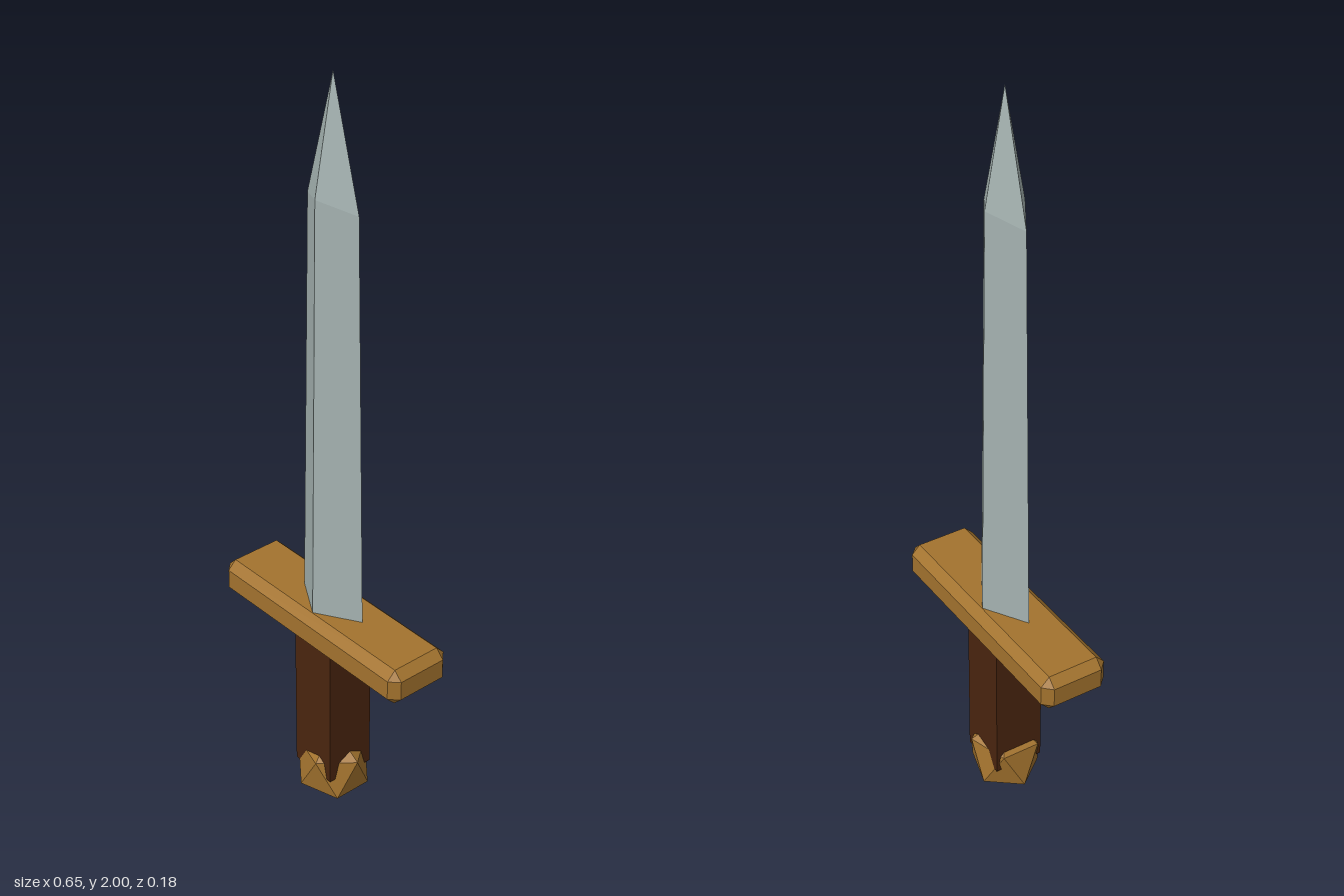
import * as THREE from 'three';
import { ConvexGeometry } from 'three/addons/geometries/ConvexGeometry.js';

const steel = new THREE.MeshStandardMaterial({ color: 0xa4b2b0 });
steel.name = 'steel';
const brass = new THREE.MeshStandardMaterial({ color: 0xa3732e });
brass.name = 'brass';
const leather = new THREE.MeshStandardMaterial({ color: 0x4a250f });
leather.name = 'leather';

// Diamond section: edges on x, ridges on z; edges and ridges may sit at different heights
function diamond(w, d, edgeY, ridgeY) {
  return [[w, edgeY, 0], [0, ridgeY, d], [-w, edgeY, 0], [0, ridgeY, -d]];
}

// Tapering faceted blade with a four-sided point
function bladeGeometry() {
  const a = diamond(0.11, 0.066, 0.59, 0.59);
  const b = diamond(0.087, 0.052, 1.69, 1.715);
  const tip = [0, 2, 0];
  const faces = [a[0], a[1], a[2], a[0], a[2], a[3]];
  for (let i = 0; i < 4; i++) {
    const j = (i + 1) % 4;
    if (i % 2 === 0) faces.push(a[i], b[i], a[j], b[i], b[j], a[j]);
    else faces.push(a[i], b[i], b[j], a[i], b[j], a[j]);
    faces.push(b[i], tip, b[j]);
  }
  const g = new THREE.BufferGeometry();
  g.setAttribute('position', new THREE.Float32BufferAttribute(faces.flat(), 3));
  g.computeVertexNormals();
  return g;
}

// Box with every edge chamfered by e
function chamferedBox(x, y, z, e) {
  const points = [];
  for (const sx of [-1, 1]) for (const sy of [-1, 1]) for (const sz of [-1, 1]) {
    points.push(
      new THREE.Vector3(sx * x, sy * (y - e), sz * (z - e)),
      new THREE.Vector3(sx * (x - e), sy * y, sz * (z - e)),
      new THREE.Vector3(sx * (x - e), sy * (y - e), sz * z),
    );
  }
  return new ConvexGeometry(points);
}

// Twenty-sided knob: two poles and two staggered rings of five
function knobGeometry(rx, ry, rz) {
  const points = [new THREE.Vector3(0, -ry, 0), new THREE.Vector3(0, ry, 0)];
  const h = 1 / Math.sqrt(5), r = 2 * h;
  for (let i = 0; i < 5; i++) {
    const t = (i * 2 * Math.PI) / 5;
    for (const s of [-1, 1]) {
      points.push(new THREE.Vector3(s * r * Math.cos(t) * rx, s * h * ry, r * Math.sin(t) * rz));
    }
  }
  return new ConvexGeometry(points);
}

export function createModel() {
  const group = new THREE.Group();
  group.name = 'shortSword';
  const add = (name, geometry, material, y = 0) => {
    const mesh = new THREE.Mesh(geometry, material);
    mesh.name = name;
    mesh.position.y = y;
    group.add(mesh);
  };

  add('blade', bladeGeometry(), steel);
  add('crossguard', chamferedBox(0.324, 0.049, 0.09, 0.023), brass, 0.568);
  add('grip', new THREE.BoxGeometry(0.133, 0.42, 0.133), leather, 0.33);
  add('pommel', knobGeometry(0.107, 0.115, 0.098), brass, 0.115);
  return group;
}
